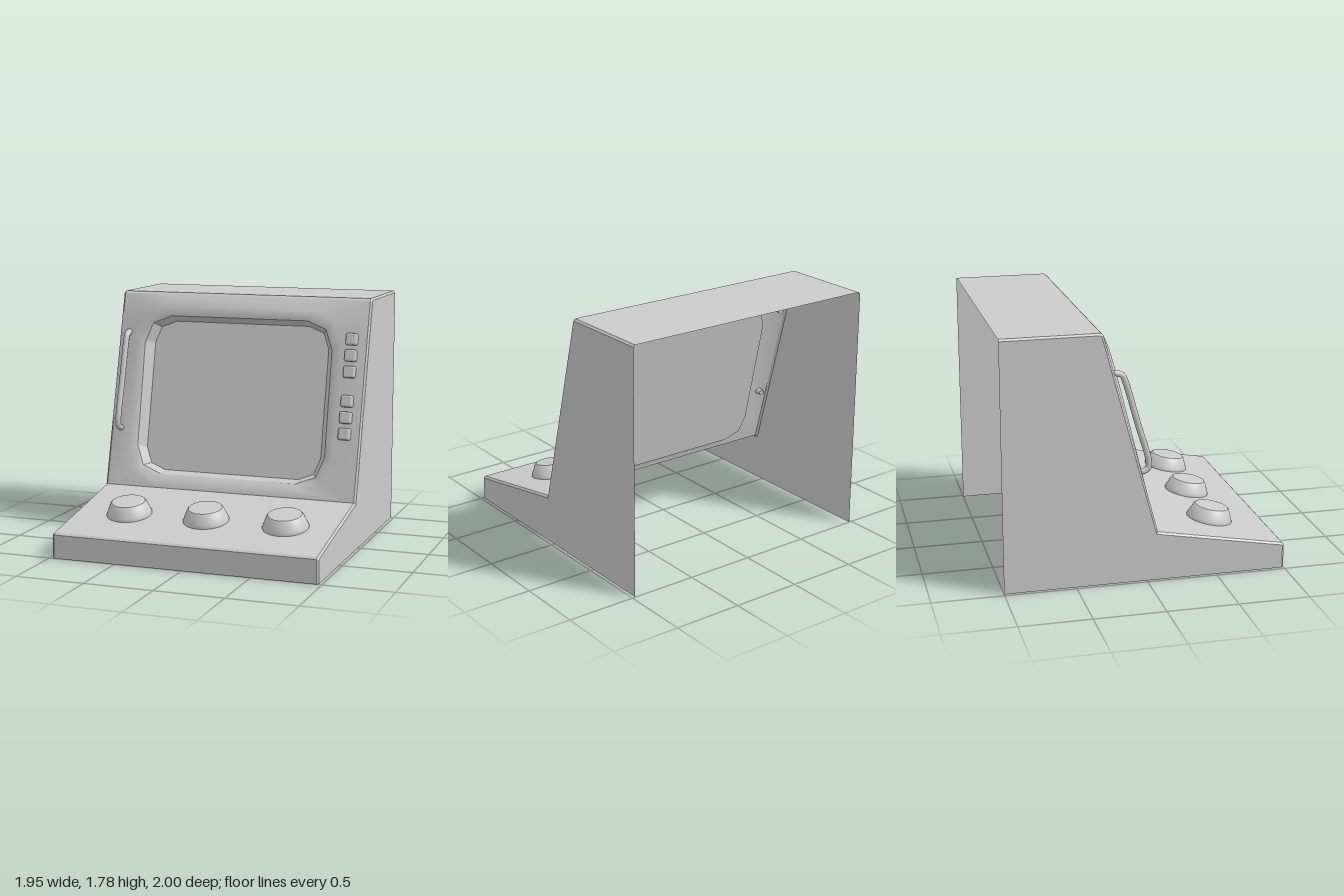
import * as THREE from 'three';
import { toCreasedNormals } from 'three/addons/utils/BufferGeometryUtils.js';
import { RoundedBoxGeometry } from 'three/addons/geometries/RoundedBoxGeometry.js';

const W = 0.977;      // half width of the cabinet
const BEVEL = 0.014;  // edge bevel along the side walls

// Side profile (z, y): front lip, control deck, leaning face, roof
const PROFILE = [[1, 0], [1, 0.17], [0.986, 0.184], [0.08, 0.35], [-0.302, 1.765], [-0.318, 1.78], [-1, 1.78]];
const FACE = 3;       // index of the profile segment filled by the screen face

const slope = (z0, y0, z1, y1) => y => z0 + (z1 - z0) * (y - y0) / (y1 - y0);
const faceZ = slope(0.08, 0.35, -0.302, 1.765);
const ridgeZ = slope(0.08, 0.35, -0.23, 1.68);
const rimZ = slope(0.02, 0.445, -0.23, 1.61);
const screenZ = slope(-0.06, 0.46, -0.317, 1.56);
const deckZtoY = z => 0.184 + (0.986 - z) * 0.1832;

// Skin through rows of equally many points
function loft(rows, closed = false) {
  const n = rows[0].length, index = [];
  for (let r = 0; r + 1 < rows.length; r++) {
    for (let i = 0; i < (closed ? n : n - 1); i++) {
      const j = (i + 1) % n;
      const a = r * n + i, b = a + n, c = (r + 1) * n + j, d = r * n + j;
      index.push(a, b, c, a, c, d);
    }
  }
  const g = new THREE.BufferGeometry();
  g.setAttribute('position', new THREE.Float32BufferAttribute(rows.flat(2), 3));
  g.setIndex(index);
  g.computeVertexNormals();
  return g;
}

// Move the profile inwards with mitred corners
function insetProfile(pts, d) {
  const normals = pts.slice(1).map((p, i) => {
    const dz = p[0] - pts[i][0], dy = p[1] - pts[i][1], l = Math.hypot(dz, dy);
    return [-dy / l, dz / l];
  });
  return pts.map((p, i) => {
    const a = normals[Math.max(i - 1, 0)], b = normals[Math.min(i, normals.length - 1)];
    const k = d / (1 + a[0] * b[0] + a[1] * b[1]);
    return [p[0] + (a[0] + b[0]) * k, p[1] + (a[1] + b[1]) * k];
  });
}

// Rectangle with two-step corners, counterclockwise, three points per corner
function softRect(x0, x1, y0, y1, r) {
  const m = r * 0.28;
  return [
    [x0, y0 + r], [x0 + m, y0 + m], [x0 + r, y0],
    [x1 - r, y0], [x1 - m, y0 + m], [x1, y0 + r],
    [x1, y1 - r], [x1 - m, y1 - m], [x1 - r, y1],
    [x0 + r, y1], [x0 + m, y1 - m], [x0, y1 - r],
  ];
}

export function createModel() {
  const model = new THREE.Group();
  const material = new THREE.MeshStandardMaterial({ color: 0xcccccc, side: THREE.DoubleSide });
  const add = (name, geometry, parent = model) => {
    const mesh = new THREE.Mesh(geometry, material);
    mesh.name = name;
    parent.add(mesh);
    return mesh;
  };

  // Cabinet shell, open at the back and underneath
  const cabinet = new THREE.Group();
  cabinet.name = 'cabinet';
  model.add(cabinet);
  const inner = insetProfile(PROFILE, BEVEL);
  const at = (pts, x) => pts.map(([z, y]) => [x, y, z]);
  const xe = W - BEVEL;
  const frontPart = PROFILE.slice(0, FACE + 1), roofPart = PROFILE.slice(FACE + 1);
  add('controlDeck', toCreasedNormals(loft([at(frontPart, -xe), at(frontPart, xe)]), 0.3), cabinet);
  add('roof', toCreasedNormals(loft([at(roofPart, -xe), at(roofPart, xe)]), 0.3), cabinet);
  add('rightEdge', toCreasedNormals(loft([at(inner, -W), at(PROFILE, -xe)]), 0.3), cabinet);
  add('leftEdge', toCreasedNormals(loft([at(PROFILE, xe), at(inner, W)]), 0.3), cabinet);
  for (const s of [-1, 1]) {
    const outline = [...inner, [-1, 0]].map(([z, y]) => new THREE.Vector2(-s * z, y));
    const wall = new THREE.ShapeGeometry(new THREE.Shape(outline));
    wall.rotateY(s * Math.PI / 2).translate(s * W, 0, 0);
    add(s > 0 ? 'leftWall' : 'rightWall', wall, cabinet);
  }

  // Screen face: swells from the cabinet edges to a ridge, then dips to the opening
  const lift = (pts, zOf) => pts.map(([x, y]) => [x, y, zOf(y)]);
  const ridge = softRect(-0.82, 0.78, 0.4, 1.68, 0.22);
  const rim = softRect(-0.755, 0.713, 0.445, 1.61, 0.2);
  const glass = softRect(-0.708, 0.662, 0.46, 1.56, 0.16);
  const yLow = PROFILE[FACE][1], yHigh = PROFILE[FACE + 1][1];
  const border = ridge.map(([x, y], i) => {
    const k = i % 6;
    const onSide = k === 0 || k === 5 || k === 1 || k === 4;
    const onEnd = k === 2 || k === 3 || k === 1 || k === 4;
    return [onSide ? Math.sign(x) * xe : x, onEnd ? (y < 1 ? yLow : yHigh) : y];
  });
  add('screenFace', loft([lift(rim, rimZ), lift(ridge, ridgeZ), lift(border, faceZ)], true));
  add('screenSurround', toCreasedNormals(loft([lift(glass, screenZ), lift(rim, rimZ)], true), 0.3));

  const screen = new THREE.ShapeGeometry(new THREE.Shape(glass.map(p => new THREE.Vector2(...p))));
  const pos = screen.attributes.position;
  for (let i = 0; i < pos.count; i++) pos.setZ(i, screenZ(pos.getY(i)));
  screen.computeVertexNormals();
  add('screen', screen);

  // Three tapered knobs on the sloping deck
  const knobProfile = [[0.164, -0.008], [0.164, 0.008], [0.158, 0.022], [0.129, 0.088], [0.12, 0.096], [0, 0.102]]
    .map(p => new THREE.Vector2(...p));
  const knobShape = toCreasedNormals(new THREE.LatheGeometry(knobProfile, 40), 0.5);
  [-0.57, 0.02, 0.61].forEach((x, i) => {
    const knob = add('knob' + (i + 1), knobShape);
    knob.position.set(x, deckZtoY(0.568), 0.568);
    knob.rotation.x = 0.181;
  });

  // Push buttons in two groups of three beside the screen
  const buttonShape = new RoundedBoxGeometry(0.086, 0.086, 0.07, 2, 0.014);
  [1.49, 1.375, 1.26, 1.055, 0.94, 0.825].forEach((y, i) => {
    const button = add('button' + (i + 1), buttonShape);
    button.position.set(0.858, y, faceZ(y) + 0.018);
    button.rotation.x = -0.25;
  });

  // Grab handle on the other side, its ends passing through the face
  const handlePath = new THREE.CatmullRomCurve3([
    [1.475, -0.27], [1.478, -0.19], [1.462, -0.155], [1.41, -0.132],
    [1.125, -0.05], [0.84, 0.031], [0.795, 0.026], [0.775, -0.005], [0.77, -0.075],
  ].map(([y, z]) => new THREE.Vector3(-0.89, y, z)));
  add('handle', new THREE.TubeGeometry(handlePath, 64, 0.022, 12));

  return model;
}
